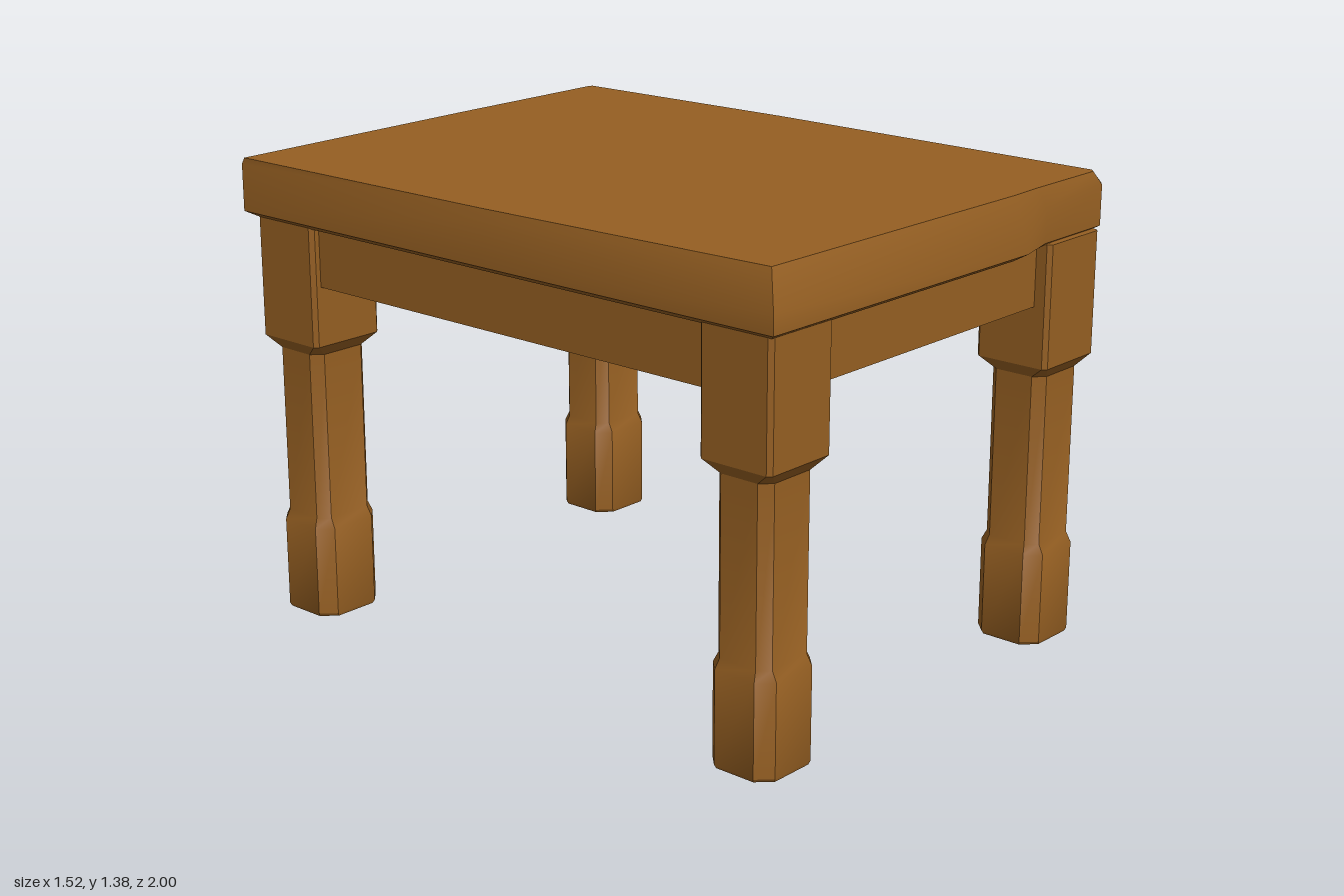
import * as THREE from 'three';
import { toCreasedNormals } from 'three/addons/utils/BufferGeometryUtils.js';

// Skin a stack of equal-length rings (bottom to top) and cap both ends
function loft(rings) {
  const n = rings[0].length;
  const index = [];
  for (let r = 0; r < rings.length - 1; r++) {
    for (let i = 0; i < n; i++) {
      const j = (i + 1) % n;
      const a = r * n + i, b = r * n + j, c = b + n, d = a + n;
      index.push(a, b, c, a, c, d);
    }
  }
  const top = (rings.length - 1) * n;
  for (let i = 1; i < n - 1; i++) {
    index.push(0, i + 1, i, top, top + i, top + i + 1);
  }
  const geo = new THREE.BufferGeometry();
  geo.setAttribute('position', new THREE.Float32BufferAttribute(rings.flat(2), 3));
  geo.setIndex(index);
  return toCreasedNormals(geo, 0.5);
}

// The whole frame leans slightly out of square
function skew(geo, cx = 0, cz = 0) {
  geo.translate(cx, 0, cz);
  const p = geo.attributes.position;
  for (let i = 0; i < p.count; i++) p.setX(i, p.getX(i) + 0.012 * p.getZ(i));
  return geo;
}

// Rectangle with cut corners, ordered front, right, back, left
function cutRect(y, w, d, c) {
  const x = w / 2, z = d / 2;
  return [[-x + c, y, z], [x - c, y, z], [x, y, z - c], [x, y, -z + c],
    [x - c, y, -z], [-x + c, y, -z], [-x, y, -z + c], [-x, y, z - c]];
}

export function createModel() {
  const group = new THREE.Group();
  const wood = new THREE.MeshStandardMaterial({ color: 0x955f22 });
  wood.name = 'brown wood';
  const add = (name, geo) => {
    const mesh = new THREE.Mesh(geo, wood);
    mesh.name = name;
    group.add(mesh);
  };

  // Hand-hewn tabletop: [outer x, outer z, top x, top z, height where top bevel starts]
  const outline = [
    [-0.735, 0.99, -0.69, 0.945, 1.28],
    [0.33, 1.0, 0.33, 0.955, 1.225],
    [0.46, 0.967, 0.44, 0.95, 1.32],
    [0.735, 0.965, 0.71, 0.95, 1.34],
    [0.76, 0.945, 0.725, 0.935, 1.34],
    [0.755, -0.2, 0.72, -0.2, 1.34],
    [0.72, -0.99, 0.69, -0.965, 1.33],
    [0.7, -1.0, 0.67, -0.97, 1.33],
    [0.12, -1.0, 0.12, -0.97, 1.33],
    [-0.765, -0.967, -0.765, -0.955, 1.36],
    [-0.75, 0, -0.74, 0, 1.35],
  ];
  add('tabletop', loft([
    outline.map(([x, z]) => [x * 0.95, 1.2, z * 0.963]),
    outline.map(([x, z]) => [x, 1.222, z]),
    outline.map(([x, z, , , y]) => [x, y, z]),
    outline.map(([, , x, z]) => [x, 1.38, z]),
  ]));

  // Legs: heavy foot, slimmer shaft, square block under the top
  const legProfile = [
    [0, 0.215, 0.205, 0.04], [0.01, 0.225, 0.212, 0.04],
    [0.28, 0.225, 0.212, 0.04], [0.31, 0.2, 0.18, 0.03],
    [0.815, 0.2, 0.18, 0.03], [0.85, 0.245, 0.235, 0.012],
    [1.21, 0.245, 0.235, 0.012],
  ];
  for (const [side, x] of [['Right', -0.6], ['Left', 0.6]]) {
    for (const [end, z] of [['front', 0.848], ['back', -0.832]]) {
      add(`${end}${side}Leg`, skew(loft(legProfile.map((p) => cutRect(...p))), x, z));
    }
    // Long rail between the legs of one side
    const rail = new THREE.BoxGeometry(0.1, 0.18, 1.6).translate(0, 1.117, 0);
    add(`side${side}Rail`, skew(rail, Math.sign(x) * 0.645, 0));
  }

  // Short rails at the front and back
  for (const [name, z] of [['frontRail', 0.87], ['backRail', -0.855]]) {
    add(name, skew(new THREE.BoxGeometry(1.15, 0.18, 0.1).translate(0, 1.117, 0), 0, z));
  }
  return group;
}
